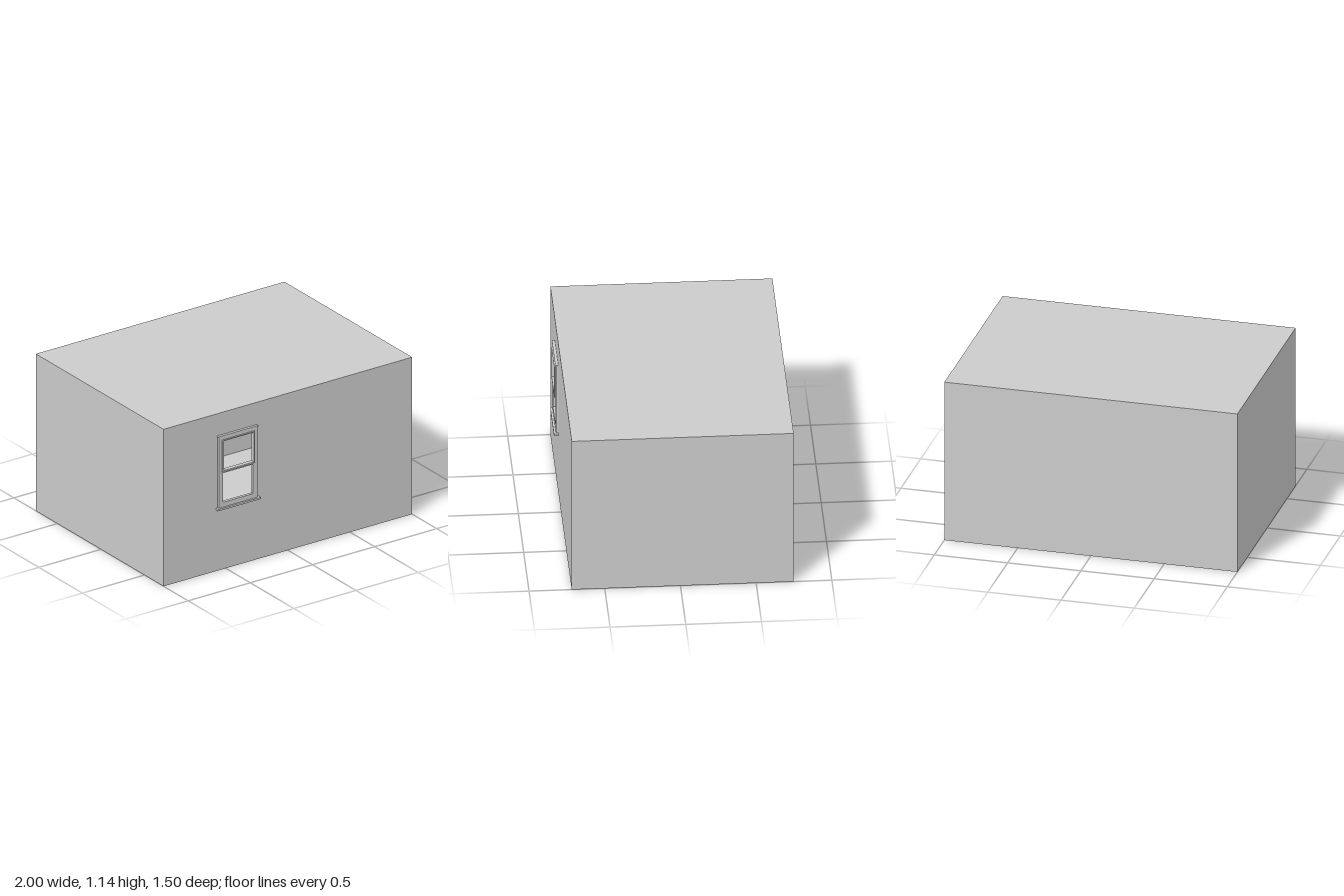
import * as THREE from 'three';

const material = new THREE.MeshStandardMaterial({ color: 0xcccccc, flatShading: true });

// Box given by its minimum and maximum corners
function box(name, min, max) {
  const size = max.map((v, i) => v - min[i]);
  const mesh = new THREE.Mesh(new THREE.BoxGeometry(...size), material);
  mesh.position.set(...max.map((v, i) => (v + min[i]) / 2));
  mesh.name = name;
  return mesh;
}

// Corners of a rectangle [x0, y0, x1, y1]
const corners = ([x0, y0, x1, y1]) => [[x0, y0], [x1, y0], [x1, y1], [x0, y1]]
  .map(([x, y]) => new THREE.Vector2(x, y));

// Upright slab between two depths, with rectangular openings
function panel(name, outline, openings, z0, z1) {
  const shape = new THREE.Shape(corners(outline));
  openings.forEach((o) => shape.holes.push(new THREE.Path(corners(o).reverse())));
  const geometry = new THREE.ExtrudeGeometry(shape, { depth: z1 - z0, bevelEnabled: false });
  geometry.translate(0, 0, z0);
  const mesh = new THREE.Mesh(geometry, material);
  mesh.name = name;
  return mesh;
}

export function createModel() {
  const model = new THREE.Group();
  model.name = 'roomWithWindow';

  const back = -0.748, front = 0.718, top = 1.136;
  const t = 0.005; // wall, floor and roof thickness

  // Hollow room
  const room = new THREE.Group();
  room.name = 'room';
  room.add(
    box('floor', [-1, 0, back], [1, t, front]),
    box('roof', [-1, top - t, back], [1, top, front]),
    box('backWall', [-1, t, back], [1, top - t, back + t]),
    panel('frontWall', [-1, t, 1, top - t], [[-0.545, 0.48, -0.279, 0.945]], front - t, front),
  );
  for (const side of [-1, 1]) {
    const inner = side * (1 - t);
    room.add(box(side < 0 ? 'rightWall' : 'leftWall',
      [Math.min(side, inner), t, back + t], [Math.max(side, inner), top - t, front - t]));
  }

  // Double-hung window, open to the room
  const upper = [-0.532, 0.725, -0.291, 0.938];
  const lower = [-0.532, 0.492, -0.291, 0.703];
  const sash = new THREE.Group();
  sash.name = 'window';
  sash.add(
    panel('casing', [-0.567, 0.457, -0.257, 0.97], [upper, lower], front - t, 0.734),
    panel('upperSash', [-0.543, 0.714, -0.281, 0.945], [upper], 0.734, 0.743),
    box('headTrim', [-0.572, 0.97, front], [-0.252, 0.976, 0.738]),
    box('sill', [-0.58, 0.444, front], [-0.238, 0.457, 0.748]),
  );

  model.add(room, sash);
  return model;
}
